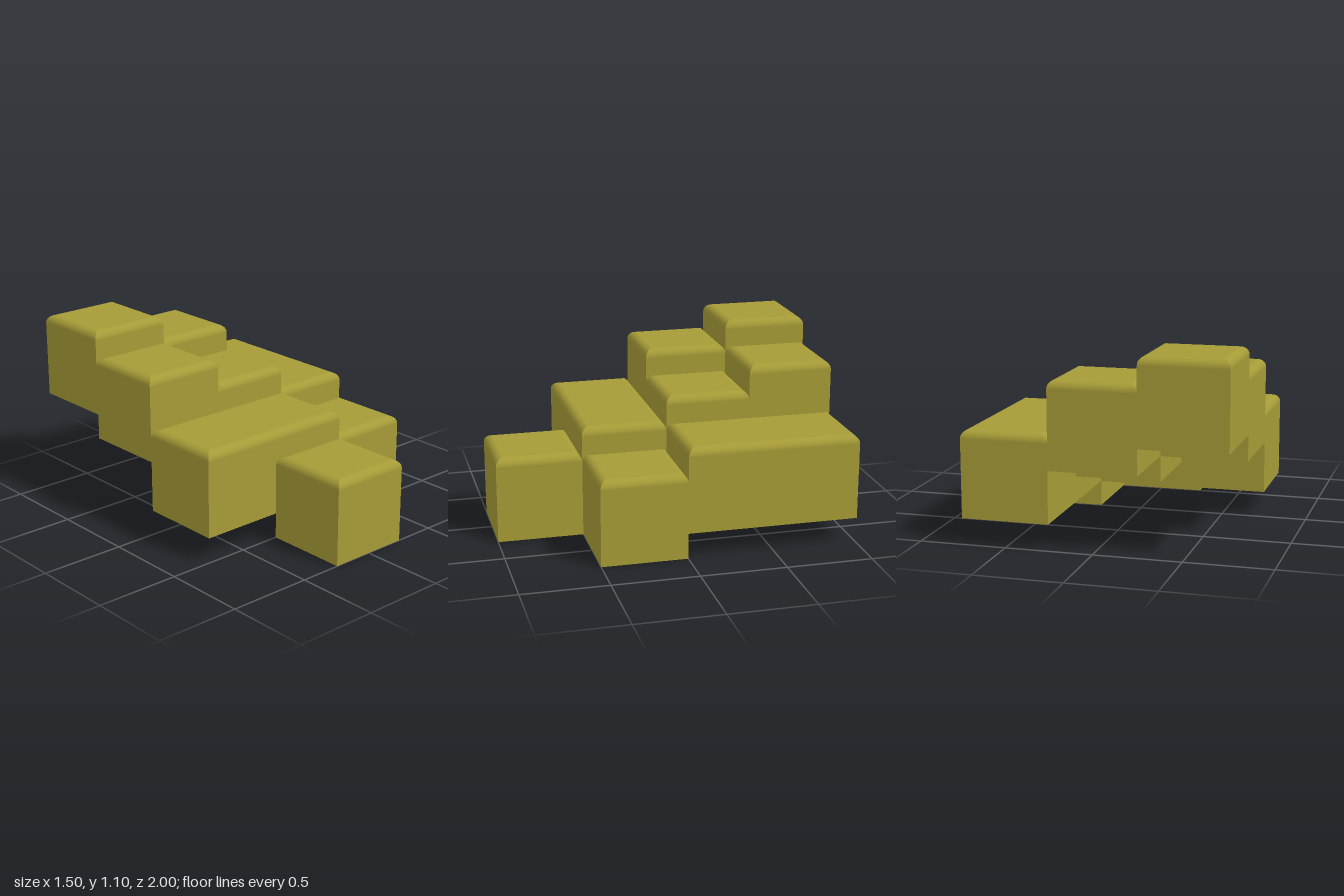
import * as THREE from 'three';

const RADIUS = 0.05;
const HEIGHT = 0.5;
const ARC_STEPS = 8;

// Open-bottomed block shell: straight walls, rounded top edges mitred at the corners
function blockGeometry(width, depth) {
  const positions = [], normals = [], index = [];

  // Wall profile from the open bottom edge up and over the rounding
  const profile = [{ inset: 0, y: 0, angle: 0 }];
  for (let i = 0; i <= ARC_STEPS; i++) {
    const angle = (i / ARC_STEPS) * Math.PI / 2;
    profile.push({
      inset: RADIUS * (1 - Math.cos(angle)),
      y: HEIGHT - RADIUS + RADIUS * Math.sin(angle),
      angle,
    });
  }

  // Four sides, each with its own vertices so the vertical edges stay sharp
  for (let side = 0; side < 4; side++) {
    const turn = side * Math.PI / 2;
    const nx = Math.round(Math.sin(turn)), nz = Math.round(Math.cos(turn));
    const out = (nx ? width : depth) / 2;
    const half = (nx ? depth : width) / 2;
    const start = positions.length / 3;
    profile.forEach(({ inset, y, angle }, row) => {
      for (const s of [-1, 1]) {
        const along = s * (half - inset);
        positions.push(nx * (out - inset) + nz * along, y, nz * (out - inset) - nx * along);
        normals.push(nx * Math.cos(angle), Math.sin(angle), nz * Math.cos(angle));
      }
      if (row > 0) {
        const a = start + (row - 1) * 2;
        index.push(a, a + 1, a + 3, a, a + 3, a + 2);
      }
    });
  }

  // Flat top
  const top = positions.length / 3;
  const hx = width / 2 - RADIUS, hz = depth / 2 - RADIUS;
  for (const [sx, sz] of [[-1, 1], [1, 1], [1, -1], [-1, -1]]) {
    positions.push(sx * hx, HEIGHT, sz * hz);
    normals.push(0, 1, 0);
  }
  index.push(top, top + 1, top + 2, top, top + 2, top + 3);

  const geometry = new THREE.BufferGeometry();
  geometry.setAttribute('position', new THREE.Float32BufferAttribute(positions, 3));
  geometry.setAttribute('normal', new THREE.Float32BufferAttribute(normals, 3));
  geometry.setIndex(index);
  return geometry;
}

export function createModel() {
  const model = new THREE.Group();
  model.name = 'steppedBlocks';
  const olive = new THREE.MeshStandardMaterial({ color: 0xa69b37, side: THREE.DoubleSide });
  olive.name = 'olive';

  // name, centre x, bottom y, centre z, width, depth
  const blocks = [
    ['peakBlock', -0.5, 0.6, -0.75, 0.5, 0.5],
    ['backMiddleBlock', 0, 0.45, -0.75, 0.5, 0.5],
    ['rightMiddleBlock', -0.5, 0.45, -0.25, 0.5, 0.5],
    ['centreBlock', 0, 0.3, -0.25, 0.5, 0.5],
    ['longSideBlock', 0.5, 0.15, -0.5, 0.5, 1],
    ['longFrontBlock', -0.25, 0.15, 0.25, 1, 0.5],
    ['leftFrontStep', 0.5, 0, 0.25, 0.5, 0.5],
    ['frontStep', 0, 0, 0.75, 0.5, 0.5],
  ];
  for (const [name, x, y, z, width, depth] of blocks) {
    const block = new THREE.Mesh(blockGeometry(width, depth), olive);
    block.name = name;
    block.position.set(x, y, z);
    model.add(block);
  }
  return model;
}
